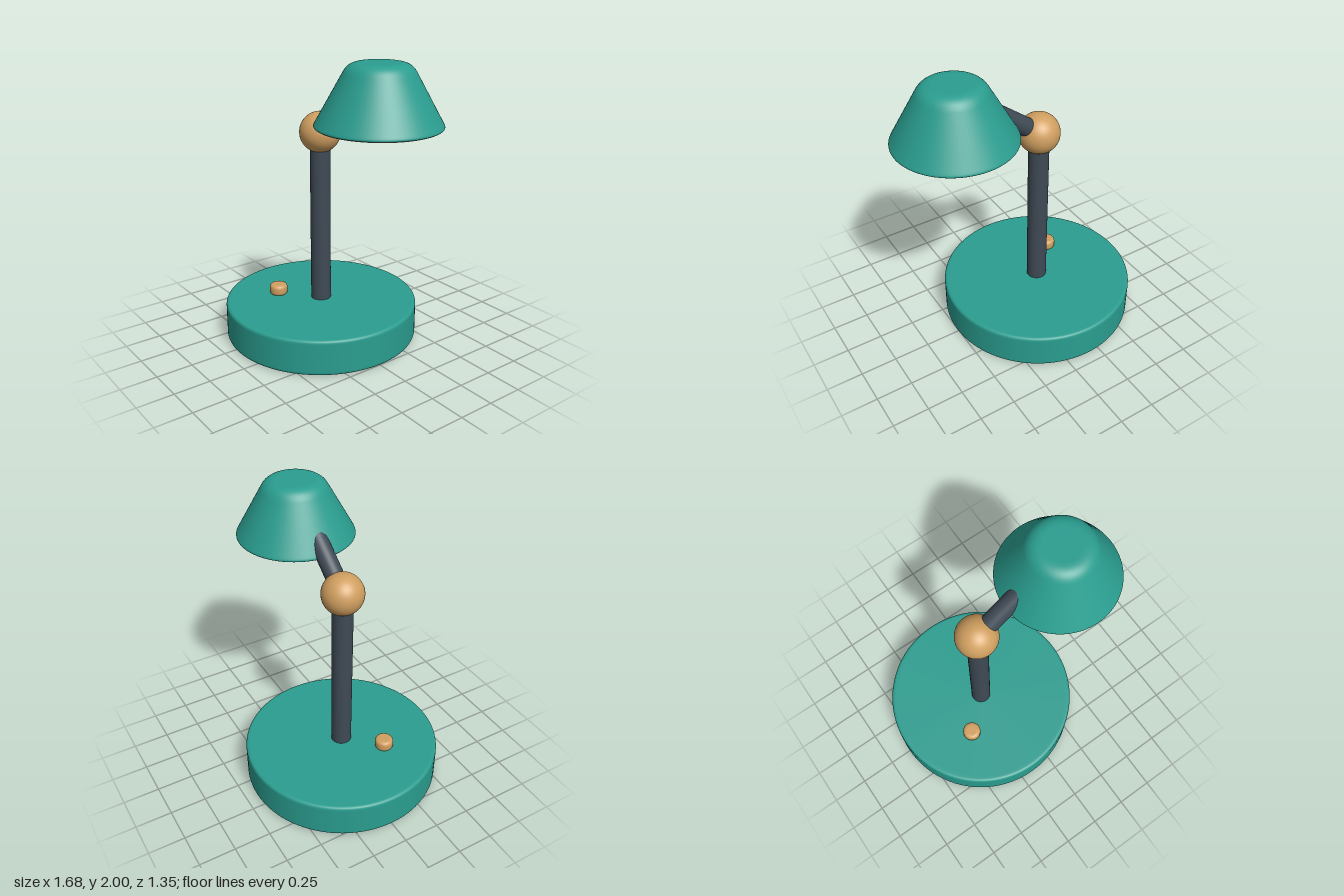
import * as THREE from 'three';

const material = (name, color) => {
  const m = new THREE.MeshStandardMaterial({ color });
  m.name = name;
  return m;
};

// Turned solid from [radius, y, cornerRounding] points listed bottom to top
function turned(points, segments = 64) {
  const v = points.map(([r, y]) => new THREE.Vector2(r, y));
  const profile = [];
  points.forEach(([, , round], i) => {
    if (!round) return profile.push(v[i]);
    const toward = (p) => v[i].clone().add(p.clone().sub(v[i]).setLength(round));
    const a = toward(v[i - 1]), b = toward(v[i + 1]);
    // short guard points keep the flats shaded flat
    profile.push(a.clone().lerp(v[i - 1], 0.02));
    profile.push(...new THREE.QuadraticBezierCurve(a, v[i], b).getPoints(8));
    profile.push(b.clone().lerp(v[i + 1], 0.02));
  });
  return new THREE.LatheGeometry(profile, segments);
}

export function createModel() {
  const lamp = new THREE.Group();
  lamp.name = 'deskLamp';
  const teal = material('teal', 0x2a9d8f);
  const slate = material('slate', 0x3f4a55);
  const brass = material('brass', 0xd09f60);
  const cream = material('cream', 0xdccab0);

  const add = (name, geometry, mat, x, y, z) => {
    const mesh = new THREE.Mesh(geometry, mat);
    mesh.name = name;
    mesh.position.set(x, y, z);
    lamp.add(mesh);
    return mesh;
  };

  const postX = -0.165, shadeX = 0.443;

  // Base and switch
  add('base', turned([[0, 0.005], [0.675, 0.005, 0.025], [0.675, 0.257, 0.025], [0, 0.257]], 96),
    teal, postX, 0, 0);
  add('switchKnob', turned([[0, 0], [0.064, 0, 0.03], [0.064, 0.08, 0.03], [0, 0.08]], 40),
    brass, -0.394, 0.25, 0.213);

  // Post and ball joint
  add('post', new THREE.CylinderGeometry(0.07, 0.07, 1.2, 48), slate, postX, 0.84, 0);
  add('ballJoint', new THREE.SphereGeometry(0.14, 48, 32), brass, postX, 1.465, 0);

  // Arm runs from the ball centre into the shade
  const start = new THREE.Vector3(postX, 1.465, 0);
  const end = new THREE.Vector3(0.3, 1.82, 0);
  const along = end.clone().sub(start);
  const mid = start.clone().add(end).multiplyScalar(0.5);
  const arm = add('arm', new THREE.CylinderGeometry(0.062, 0.062, along.length(), 40),
    slate, mid.x, mid.y, mid.z);
  arm.quaternion.setFromUnitVectors(new THREE.Vector3(0, 1, 0), along.normalize());

  // Shade with a pale diffuser closing its mouth
  add('shade', turned([[0.36, 1.611], [0.405, 1.611, 0.025], [0.189, 2, 0.065], [0, 2]], 96),
    teal, shadeX, 0, 0);
  add('diffuser', new THREE.CylinderGeometry(0.383, 0.383, 0.006, 96), cream, shadeX, 1.611, 0);

  return lamp;
}
